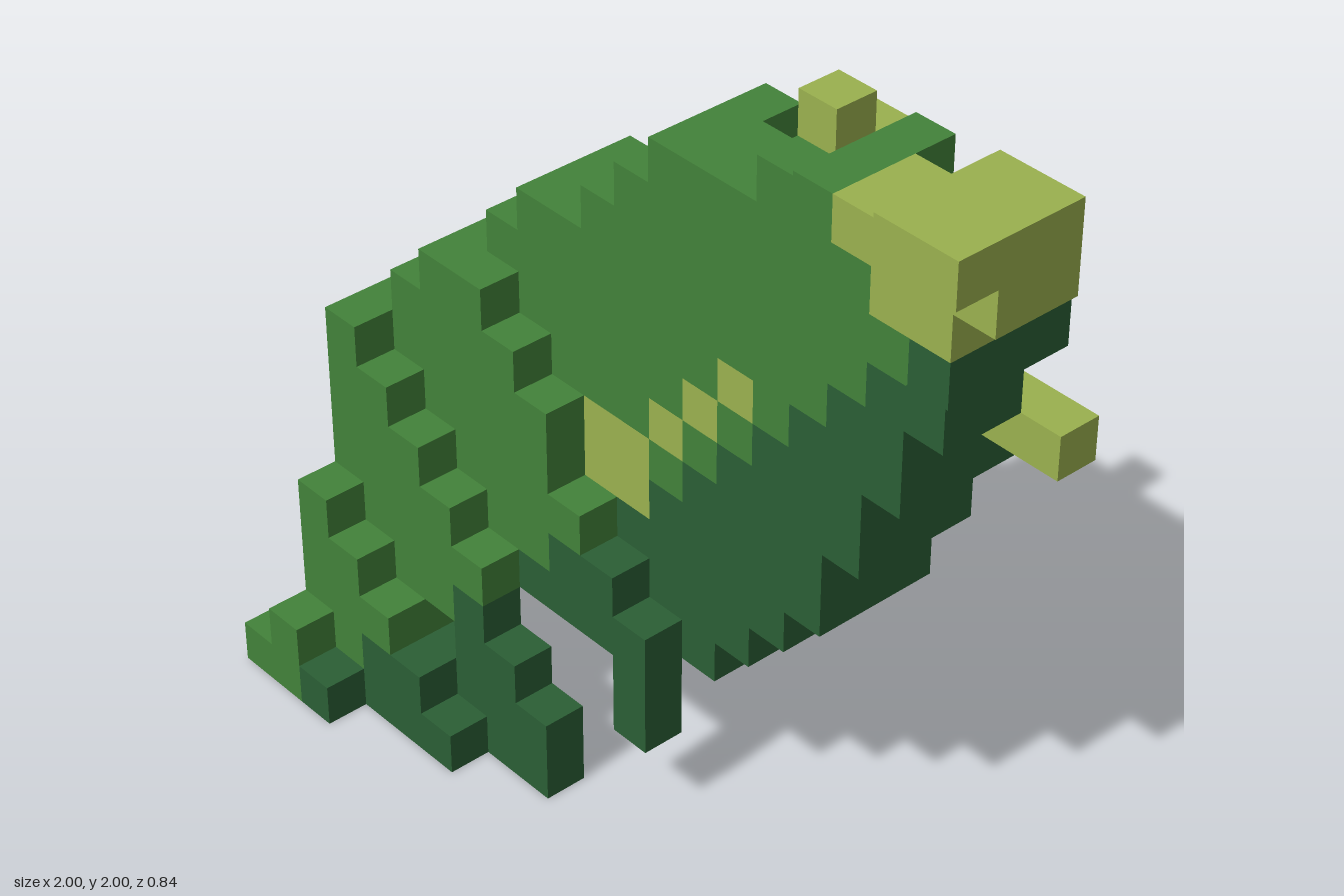
import * as THREE from 'three';
import { mergeGeometries } from 'three/addons/utils/BufferGeometryUtils.js';

const U = 2 / 19;          // edge of one block
const HALF_X = 9.5, HALF_Z = 4;

const materials = {
  green: new THREE.MeshStandardMaterial({ color: 0x43833a }),
  dark: new THREE.MeshStandardMaterial({ color: 0x2b5f35 }),
  lime: new THREE.MeshStandardMaterial({ color: 0x9bb24f }),
};
for (const name in materials) materials[name].name = name;

// One square face per direction, already pushed out to the block's surface
const faces = [
  [1, 0, 0], [-1, 0, 0], [0, 1, 0], [0, -1, 0], [0, 0, 1], [0, 0, -1],
].map((dir) => {
  const geometry = new THREE.PlaneGeometry(U, U).translate(0, 0, U / 2);
  if (dir[0]) geometry.rotateY(dir[0] * Math.PI / 2);
  if (dir[1]) geometry.rotateX(-dir[1] * Math.PI / 2);
  if (dir[2] < 0) geometry.rotateY(Math.PI);
  return { dir, geometry };
});

export function createModel() {
  const blocks = new Map();
  const key = (c, r, k) => c + ',' + r + ',' + k;

  // Fill a run of blocks: columns, rows and layers (back to front) are inclusive
  const fill = (part, color, c0, c1, r0, r1, k0, k1 = k0) => {
    for (let c = c0; c <= c1; c++)
      for (let r = r0; r <= r1; r++)
        for (let k = k0; k <= k1; k++) blocks.set(key(c, r, k), { part, color, c, r, k });
  };
  // Recolour blocks that already exist
  const paint = (color, c0, c1, r0, r1, k) => {
    for (let c = c0; c <= c1; c++)
      for (let r = r0; r <= r1; r++) {
        const block = blocks.get(key(c, r, k));
        if (block) block.color = color;
      }
  };
  // A row whose lower right side, past a diagonal, is dark
  const shadedRow = (part, c0, c1, r, k0, k1 = k0) => {
    for (let c = c0; c <= c1; c++) fill(part, c >= r + 2 ? 'dark' : 'green', c, c, r, r, k0, k1);
  };

  // Leaning body, rows 4 to 15
  const start = [1, 1, 1, 1, 1, 2, 3, 4, 5, 7, 8, 9];
  const end = [10, 11, 12, 13, 13, 14, 14, 15, 15, 16, 16, 17];
  start.forEach((c0, i) => shadedRow('body', c0, end[i], i + 4, 2, 3));
  fill('body', 'green', 12, 15, 16, 16, 2, 3);
  fill('body', 'lime', 16, 16, 16, 16, 2, 3);

  // Layer on the back of the body
  const backStart = [6, 5, 5, 4, 3, 3, 3, 4, 5, 7, 8, 9];
  const backEnd = [10, 11, 12, 13, 13, 14, 14, 15, 11, 11, 9, 9];
  backStart.forEach((c0, i) => shadedRow('backLayer', c0, backEnd[i], i + 4, 1));

  // Stepped layers on the lower front, each lower than the one behind
  const lower = [9, 8, 7, 6, 6, 5, 4];
  lower.forEach((c1, i) => shadedRow('frontLayer', start[i], c1, i + 4, 4));
  for (let i = 0; i < 5; i++) shadedRow('frontLayer', 1, 5 - i, i + 4, 5);
  fill('frontLayer', 'green', 1, 1, 4, 4, 6);

  // Hind leg and toes
  fill('hindLeg', 'green', 1, 4, 3, 3, 2);
  fill('hindLeg', 'green', 3, 3, 2, 2, 2);
  fill('hindLeg', 'green', 1, 4, 3, 3, 4, 5);
  fill('hindLeg', 'green', 1, 3, 2, 2, 4, 6);
  fill('hindLeg', 'green', 1, 2, 3, 3, 6);
  fill('hindLeg', 'green', 1, 2, 1, 1, 4, 6);
  fill('hindLeg', 'green', 1, 1, 1, 1, 7);
  fill('hindLeg', 'green', 0, 1, 0, 0, 4, 7);
  for (let r = 0; r < 4; r++) fill('hindLeg', 'lime', r < 2 ? 0 : 1, r + 1, r, r, 3);
  fill('hindLeg', 'lime', 0, 0, 0, 1, 4);

  // Dark foot spreading forward and sideways
  fill('foot', 'dark', 5, 5, 3, 3, 5);
  fill('foot', 'dark', 5, 6, 2, 2, 5);
  fill('foot', 'dark', 3, 7, 1, 1, 5);
  fill('foot', 'dark', 2, 7, 0, 0, 5);
  fill('foot', 'dark', 3, 4, 1, 1, 6);
  fill('foot', 'dark', 2, 5, 0, 0, 6);
  fill('foot', 'dark', 2, 2, 0, 0, 7);

  // Small hanging leg
  fill('smallLeg', 'dark', 9, 9, 2, 3, 4);

  // Head with its lime snout
  fill('head', 'green', 14, 14, 17, 17, 2, 4);
  fill('head', 'green', 14, 15, 16, 16, 4);
  fill('head', 'green', 15, 16, 15, 15, 4);
  fill('head', 'dark', 17, 17, 15, 15, 4);
  fill('snout', 'lime', 16, 17, 16, 16, 4);
  fill('snout', 'lime', 17, 17, 16, 16, 3);
  fill('snout', 'lime', 15, 18, 17, 17, 3, 4);
  fill('snout', 'lime', 17, 18, 18, 18, 3, 5);

  // Upright spine with a side bar and a cross on the back
  fill('spine', 'lime', 12, 12, 12, 16, 1);
  fill('spine', 'lime', 12, 12, 17, 17, 2);
  fill('sideBar', 'lime', 13, 17, 12, 12, 1);
  fill('cross', 'lime', 12, 12, 11, 13, 0);
  fill('cross', 'lime', 11, 13, 12, 12, 0);

  // Raised pad with its stub
  fill('pad', 'lime', 8, 11, 8, 9, 0);
  fill('pad', 'lime', 9, 9, 10, 11, 0);

  // Markings on the front
  paint('lime', 7, 8, 7, 8, 3);
  for (let i = 9; i < 12; i++) paint('lime', i, i, i, i, 3);

  // Markings on the back
  paint('lime', 5, 6, 5, 10, 1);
  paint('lime', 7, 10, 5, 6, 1);
  paint('green', 6, 6, 6, 6, 1);
  paint('lime', 9, 9, 12, 13, 1);
  paint('lime', 12, 13, 9, 9, 1);
  paint('lime', 15, 15, 15, 15, 2);
  paint('lime', 14, 14, 13, 14, 2);

  // Keep the exposed faces and gather them by part and colour
  const parts = {};
  for (const { part, color, c, r, k } of blocks.values()) {
    for (const { dir, geometry } of faces) {
      if (blocks.has(key(c + dir[0], r + dir[1], k + dir[2]))) continue;
      const face = geometry.clone().translate(
        (c + 0.5 - HALF_X) * U, (r + 0.5) * U, (k + 0.5 - HALF_Z) * U);
      ((parts[part] ??= {})[color] ??= []).push(face);
    }
  }

  const model = new THREE.Group();
  model.name = 'blockCreature';
  for (const part in parts) {
    const group = new THREE.Group();
    group.name = part;
    for (const color in parts[part]) {
      const mesh = new THREE.Mesh(mergeGeometries(parts[part][color]), materials[color]);
      mesh.name = part + ' ' + color;
      group.add(mesh);
    }
    model.add(group);
  }
  return model;
}
